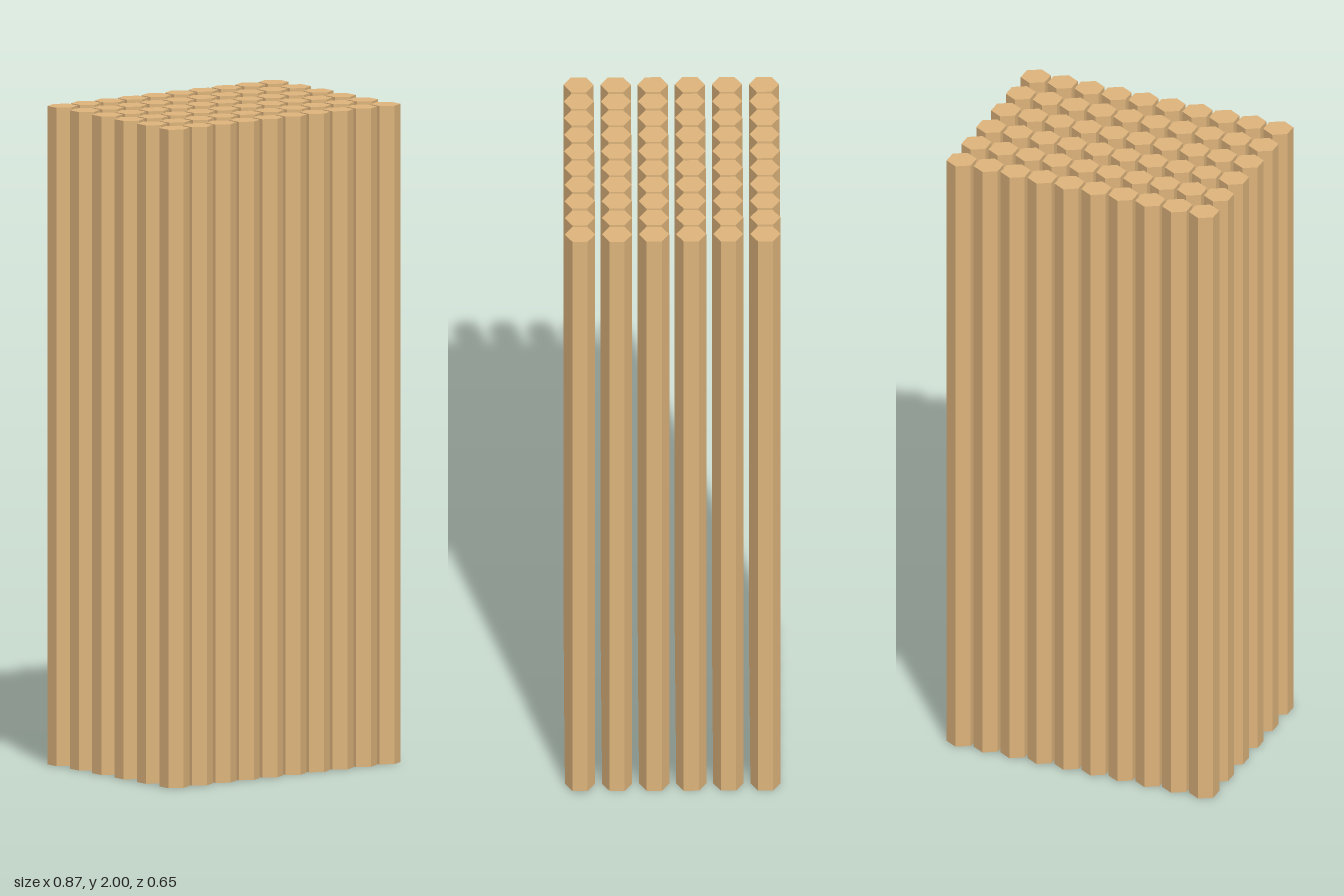
import * as THREE from 'three';

export function createModel() {
  const group = new THREE.Group();
  group.name = 'pillarBundle';

  const columns = 10, rows = 6;
  const spacingX = 0.0883, spacingZ = 0.1114;
  const radius = 0.0455, height = 2;

  const wood = new THREE.MeshStandardMaterial({ color: 0xdeb47c, flatShading: true });
  // hexagonal rod with its points towards front and back
  const rod = new THREE.CylinderGeometry(radius, radius, height, 6);

  // grid of separate upright rods
  for (let r = 0; r < rows; r++) {
    for (let c = 0; c < columns; c++) {
      const mesh = new THREE.Mesh(rod, wood);
      mesh.name = `hexRod_row${r + 1}_column${c + 1}`;
      mesh.position.set(
        (c - (columns - 1) / 2) * spacingX,
        height / 2,
        (r - (rows - 1) / 2) * spacingZ
      );
      group.add(mesh);
    }
  }
  return group;
}
